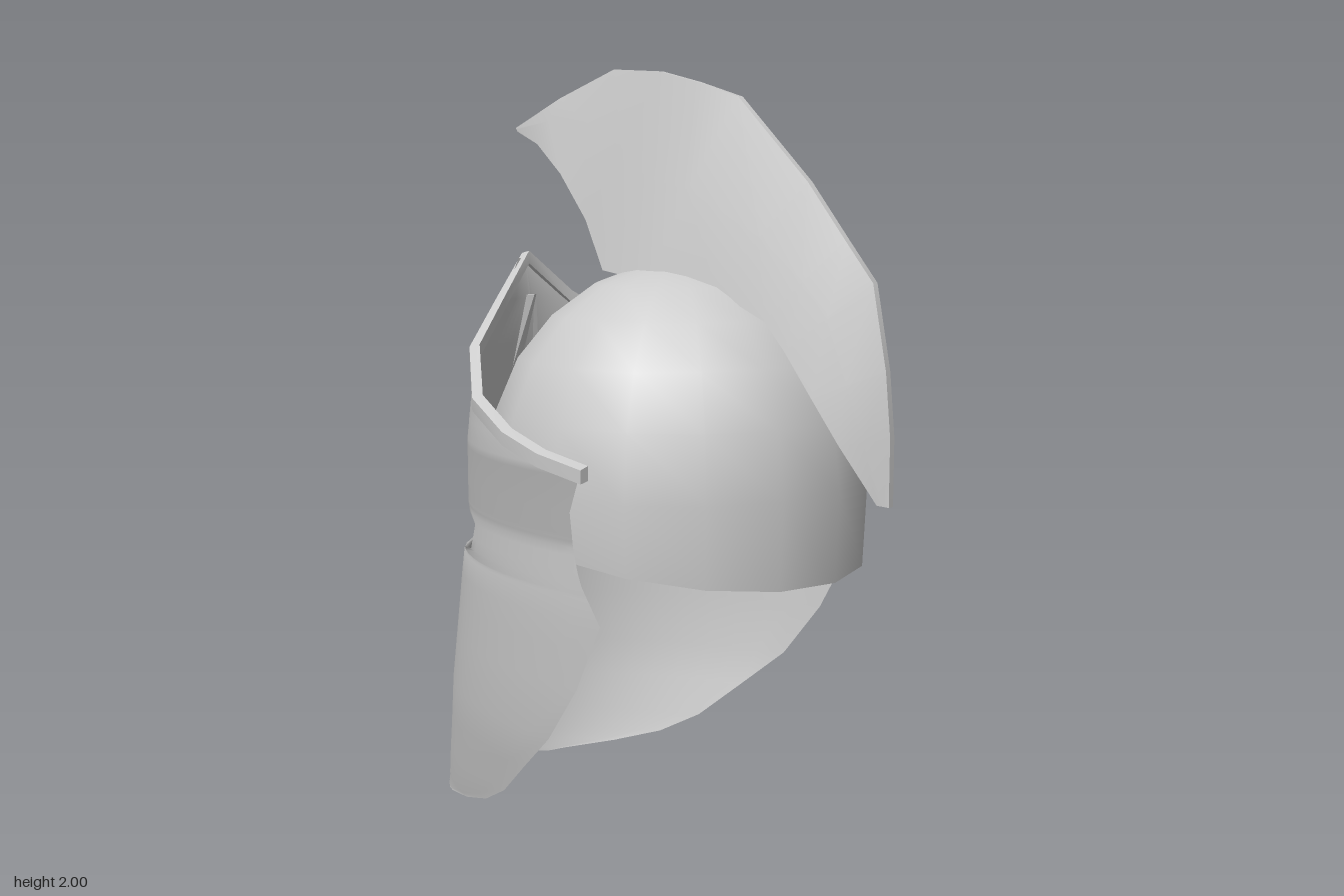
import * as THREE from 'three';
import { toCreasedNormals } from 'three/addons/utils/BufferGeometryUtils.js';

const material = new THREE.MeshStandardMaterial({ color: 0xcccccc, side: THREE.DoubleSide });

// Piecewise-linear lookup in a list of [key, value] pairs
function lookup(table, k) {
  let i = 1;
  while (i < table.length - 1 && k > table[i][0]) i++;
  const [k0, v0] = table[i - 1], [k1, v1] = table[i];
  return v0 + (v1 - v0) * THREE.MathUtils.clamp((k - k0) / (k1 - k0), 0, 1);
}

// Skin over rows of points; closed joins each row into a ring and caps both ends
function loft(rows, closed = false, crease = 0) {
  const n = rows[0].length, index = [];
  for (let r = 0; r < rows.length - 1; r++) {
    for (let c = 0; c < (closed ? n : n - 1); c++) {
      const a = r * n + c, b = r * n + (c + 1) % n;
      index.push(a, b, b + n, a, b + n, a + n);
    }
  }
  if (closed) {
    const last = (rows.length - 1) * n;
    for (let c = 1; c < n - 1; c++) index.push(0, c + 1, c, last, last + c, last + c + 1);
  }
  const geometry = new THREE.BufferGeometry();
  geometry.setAttribute('position', new THREE.Float32BufferAttribute(rows.flat(2), 3));
  geometry.setIndex(index);
  geometry.computeVertexNormals();
  return crease ? toCreasedNormals(geometry, crease) : geometry;
}

const mirrorRows = rows => rows.map(row => row.map(([x, y, z]) => [x, y, -z]).reverse());

// Each level of the face plate is a quarter ellipse, from its nose line back to x = 0.25
const BACK = 0.25;
const noseLine = [[0, -0.718], [0.35, -0.646], [0.72, -0.575], [1.38, -0.46], [1.5, -0.478]];
const halfWidth = [[0, 0.44], [0.14, 0.48], [0.35, 0.53], [0.67, 0.55], [0.85, 0.55], [1.05, 0.6], [1.5, 0.6]];
const plateAngle = (x, y) => Math.acos(THREE.MathUtils.clamp((BACK - x) / (BACK - lookup(noseLine, y)), 0, 1));
function platePoint(angle, y, out = 0) {
  const depth = BACK - lookup(noseLine, y);
  return [BACK - (depth + out) * Math.cos(angle), y, (lookup(halfWidth, y) + out) * Math.sin(angle)];
}

// Front edge, stepping back around the eye opening, and rear edge of the plate
const frontEdge = [[0, -0.702], [0.29, -0.64], [0.55, -0.59], [0.73, -0.552], [0.74, -0.43], [0.76, -0.33],
  [0.83, -0.3], [0.85, -0.37], [0.865, -0.46], [0.872, -0.52], [0.88, -0.6], [1.5, -0.6]];
const rearEdge = [[0, -0.6], [0.01, -0.56], [0.04, -0.43], [0.08, -0.3], [0.14, -0.19], [0.35, 0.05], [0.5, 0.16],
  [0.67, 0.245], [0.77, 0.18], [0.85, 0.16], [0.94, 0.17], [1.03, 0.22], [1.05, 0.14], [1.1, -0.04],
  [1.16, -0.22], [1.27, -0.36], [1.39, -0.445], [1.5, -0.477]];

function facePlateRows() {
  const levels = [0, 0.01, 0.04, 0.08, 0.14, 0.24, 0.35, 0.5, 0.6, 0.67, 0.73, 0.74, 0.76, 0.79, 0.83, 0.85,
    0.865, 0.872, 0.88, 0.94, 1.03, 1.05, 1.1, 1.16, 1.27, 1.39, 1.5];
  return levels.map(y => {
    const a = plateAngle(lookup(frontEdge, y), y), b = plateAngle(lookup(rearEdge, y), y);
    return Array.from({ length: 13 }, (_, i) => platePoint(a + (b - a) * i / 12, y));
  });
}

// Raised trim along the top of the plate, peaked over the nose
function browTrimRows() {
  const path = [[0.24, 1.035], [0.1, 1.06], [-0.04, 1.095], [-0.22, 1.155], [-0.36, 1.265], [-0.44, 1.38], [-0.478, 1.495]];
  const half = path.map(([x, y]) => {
    const angle = plateAngle(x, y);
    const inner = platePoint(angle, y, -0.012), outer = platePoint(angle, y, 0.015);
    const lift = ([px, py, pz], h) => [px, py + h, pz];
    return [lift(outer, -0.015), lift(outer, 0.018), lift(inner, 0.025), lift(inner, -0.01)];
  });
  const other = half.slice(0, -1).reverse().map(row => row.map(([x, y, z]) => [x, y, -z]));
  return [...half, ...other];
}

// Ridged nose guard: [edge y, ridge y, edge x, ridge x, half width]
function noseGuardRows() {
  const stations = [[0.51, 0.45, -0.6, -0.66, 0.09], [0.85, 0.85, -0.54, -0.597, 0.09],
    [1.0, 1.0, -0.512, -0.565, 0.085], [1.2, 1.2, -0.482, -0.522, 0.055], [1.4, 1.4, -0.458, -0.472, 0.02]];
  return stations.map(([ye, yr, xe, xr, w]) =>
    [[xr, yr, 0], [xe, ye, w], [xr + 0.025, yr, 0], [xe, ye, -w]]);
}

// Crest: [outer x, outer y, inner x, inner y, half width at the inner edge]
function crestRows() {
  const stations = [
    [-0.5, 1.855, -0.495, 1.845, 0.01], [-0.34, 1.93, -0.4, 1.81, 0.035], [-0.15, 2.0, -0.3, 1.73, 0.055],
    [0, 1.99, -0.2, 1.61, 0.07], [0.12, 1.96, -0.13, 1.48, 0.085], [0.25, 1.92, 0.05, 1.46, 0.13],
    [0.46, 1.71, 0.25, 1.44, 0.1], [0.57, 1.57, 0.39, 1.37, 0.09], [0.65, 1.47, 0.45, 1.3, 0.09],
    [0.69, 1.26, 0.53, 1.19, 0.09], [0.705, 1.1, 0.6, 1.08, 0.075], [0.705, 0.93, 0.68, 0.935, 0.025]];
  return stations.map(([ox, oy, ix, iy, w]) => {
    const mx = (ox + ix) / 2, my = (oy + iy) / 2, e = 0.01, m = Math.max(e, w * 0.65);
    return [[ox, oy, -e], [ox, oy, e], [mx, my, m], [ix, iy, w], [ix, iy, -w], [mx, my, -m]];
  });
}

// Skull dome, with its rim cut on a slope that drops to the back
function domeGeometry() {
  const profile = [[0.492, 0.8], [0.502, 0.95], [0.48, 1.12], [0.42, 1.26], [0.33, 1.37], [0.22, 1.45], [0.1, 1.495], [0, 1.503]];
  const geometry = new THREE.LatheGeometry(profile.map(([r, y]) => new THREE.Vector2(r, y)), 16);
  geometry.translate(0.057, 0, 0);
  const p = geometry.attributes.position;
  for (let i = 0; i < p.count; i++) {
    if (p.getY(i) < 0.85) p.setY(i, 0.81 - 0.162 * p.getX(i));
  }
  return geometry;
}

export function createModel() {
  const helmet = new THREE.Group();
  helmet.name = 'helmet';
  const add = (name, geometry) => {
    const mesh = new THREE.Mesh(geometry, material);
    mesh.name = name;
    helmet.add(mesh);
  };
  add('dome', domeGeometry());
  add('crest', loft(crestRows(), true, 0.7));
  const plate = facePlateRows();
  add('facePlateLeft', loft(plate));
  add('facePlateRight', loft(mirrorRows(plate)));
  add('browTrim', loft(browTrimRows(), true, 0.6));
  add('noseGuard', loft(noseGuardRows(), true, 0.4));
  return helmet;
}
